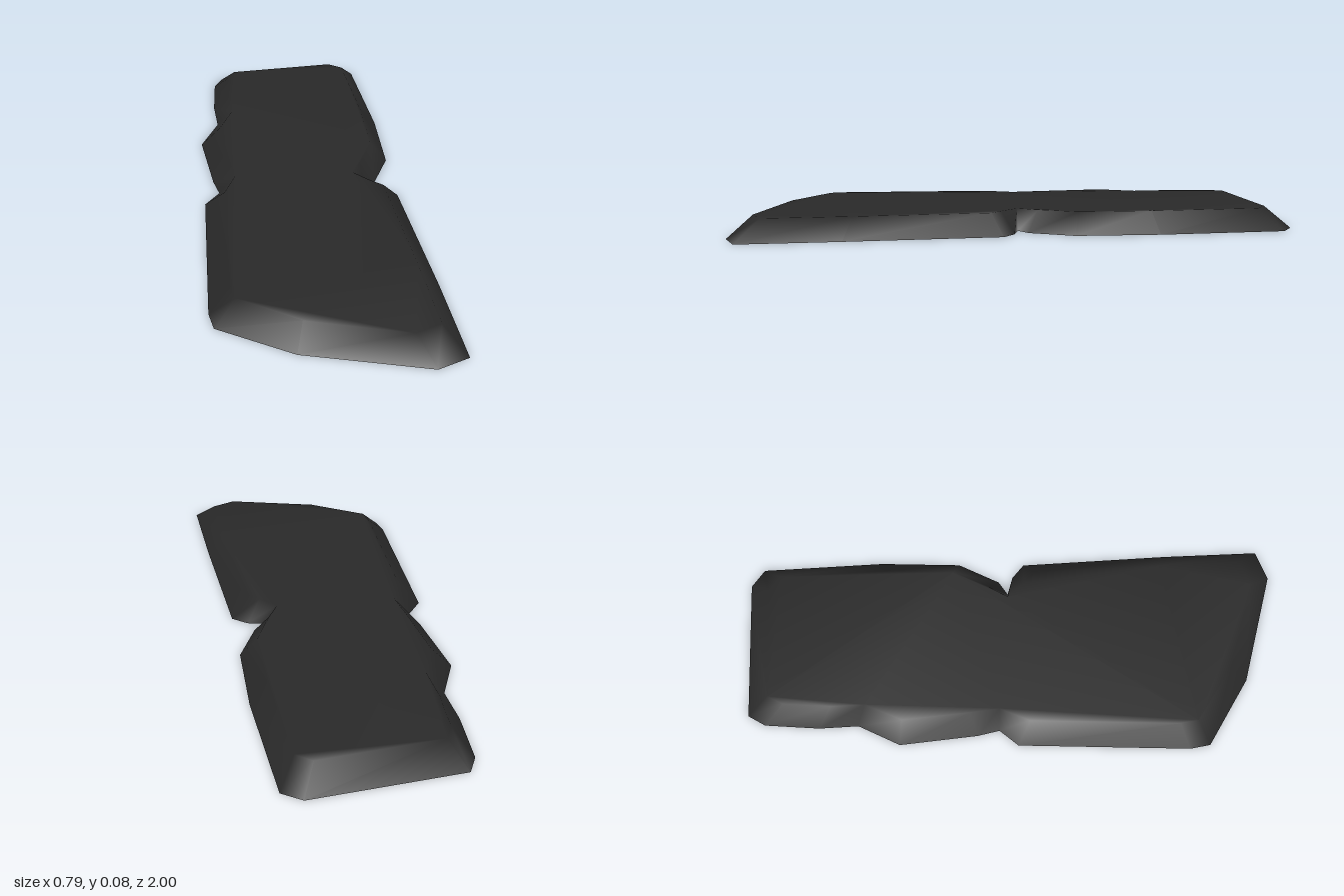
import * as THREE from 'three';

const HEIGHT = 0.075;
const LOBE_CENTRE = 0.34; // each half of the top shrinks about its own middle
const TAPER_X = 0.81;
const TAPER_Z = 0.87;

// Ground outline as [x, z], clockwise from the back left corner seen from above.
// The two corners marked true pinch the waist between the halves.
const OUTLINE = [
  [-0.285, -0.965], [0.235, -1], [0.302, -0.955], [0.335, -0.5], [0.332, -0.2],
  [0.26, -0.045], [0.21, -0.01, true], [0.28, 0.008], [0.333, 0.05], [0.374, 0.6],
  [0.393, 0.957], [0.285, 0.998], [-0.13, 0.887], [-0.38, 0.738], [-0.395, 0.665],
  [-0.388, 0.035], [-0.333, -0.035, true], [-0.353, -0.115], [-0.39, -0.4],
  [-0.32, -0.555], [-0.33, -0.7], [-0.32, -0.9],
];

// Top corner above a ground corner
function topCorner([x, z, waist]) {
  const centre = Math.sign(z) * LOBE_CENTRE;
  return new THREE.Vector2(x * TAPER_X, waist ? z : centre + (z - centre) * TAPER_Z);
}

// Hollow shell, open underneath, with smooth shared normals
function shellGeometry() {
  const n = OUTLINE.length;
  const top = OUTLINE.map(topCorner);
  const positions = [];
  OUTLINE.forEach(([x, z]) => positions.push(x, 0, z));
  top.forEach((p) => positions.push(p.x, HEIGHT, p.y));

  const index = [];
  // Sloping sides
  for (let i = 0; i < n; i++) {
    const j = (i + 1) % n;
    index.push(i, n + i, j, j, n + i, n + j);
  }
  // Top, with every triangle turned upwards
  for (const [a, b, c] of THREE.ShapeUtils.triangulateShape(top, [])) {
    const up = THREE.ShapeUtils.area([top[a], top[b], top[c]]) < 0;
    index.push(n + a, n + (up ? b : c), n + (up ? c : b));
  }

  const geometry = new THREE.BufferGeometry();
  geometry.setAttribute('position', new THREE.Float32BufferAttribute(positions, 3));
  geometry.setIndex(index);
  geometry.computeVertexNormals();
  return geometry;
}

export function createModel() {
  const group = new THREE.Group();
  group.name = 'stoneSlab';
  const charcoal = new THREE.MeshStandardMaterial({ color: 0x292929, side: THREE.DoubleSide });
  charcoal.name = 'charcoal';
  const slab = new THREE.Mesh(shellGeometry(), charcoal);
  slab.name = 'slab';
  group.add(slab);
  return group;
}
